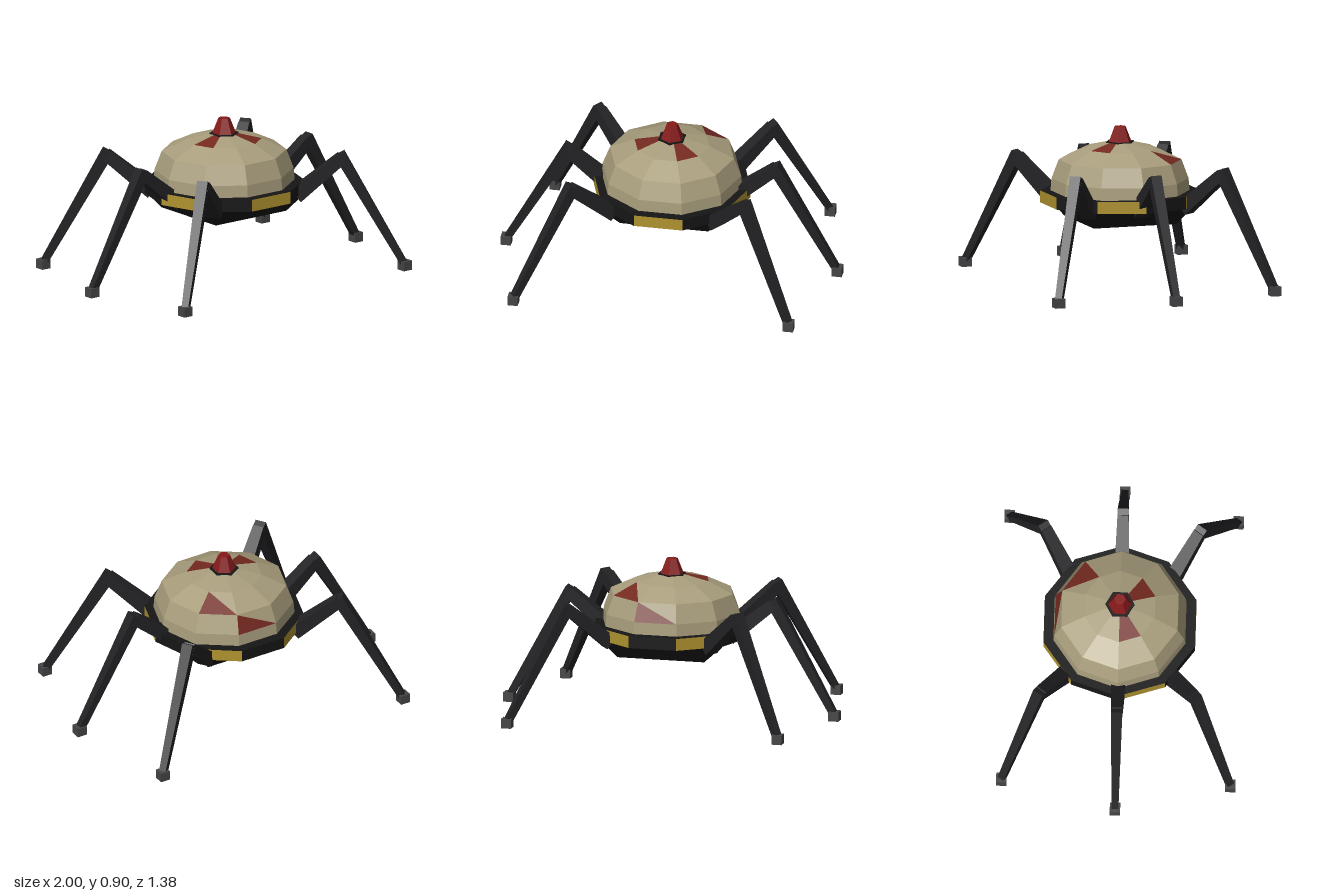
import * as THREE from 'three';

const mat = (color) => new THREE.MeshStandardMaterial({ color, flatShading: true });
const materials = {
  shell: mat(0xa89d7c), patch: mat(0x742a20), black: mat(0x161617), yellow: mat(0xb0932f),
  leg: mat(0x222225), foot: mat(0x454547), beacon: mat(0x861a1a),
};

function addMesh(parent, name, geometry, material) {
  const mesh = new THREE.Mesh(geometry, material);
  mesh.name = name;
  parent.add(mesh);
  return mesh;
}

// Ten-sided surface through [radius, y] rings, bottom to top.
// accent(ring, side, half) chooses which triangles go to the second geometry.
function ringSurface(rings, accent) {
  const sides = 10, main = [], marked = [];
  const point = ([r, y], k) => {
    const a = (k / sides) * Math.PI * 2;
    return [r * Math.cos(a), y, r * Math.sin(a)];
  };
  for (let i = 0; i < rings.length - 1; i++) {
    for (let k = 0; k < sides; k++) {
      const a = point(rings[i], k), b = point(rings[i], k + 1);
      const c = point(rings[i + 1], k + 1), d = point(rings[i + 1], k);
      if (rings[i][0] > 0) (accent(i, k, 0) ? marked : main).push(...a, ...c, ...b);
      if (rings[i + 1][0] > 0) (accent(i, k, 1) ? marked : main).push(...a, ...d, ...c);
    }
  }
  return [main, marked].map((positions) => {
    const g = new THREE.BufferGeometry();
    g.setAttribute('position', new THREE.Float32BufferAttribute(positions, 3));
    g.computeVertexNormals();
    return g;
  });
}

// Tapered square beam between two points
function beam(parent, name, from, to, w0, w1) {
  const g = new THREE.CylinderGeometry(w1 * Math.SQRT1_2, w0 * Math.SQRT1_2, from.distanceTo(to), 4);
  g.rotateY(Math.PI / 4).rotateX(Math.PI / 2);
  const mesh = addMesh(parent, name, g, materials.leg);
  mesh.position.copy(from).add(to).multiplyScalar(0.5);
  mesh.lookAt(to);
}

function addLeg(parent, name, hip, knee, foot) {
  const leg = new THREE.Group();
  leg.name = name;
  const [h, k, f] = [hip, knee, foot].map((p) => new THREE.Vector3(...p));
  const kneeTop = k.clone().add(k.clone().sub(f).setLength(0.025));
  beam(leg, 'upperLeg', h, k, 0.085, 0.065);
  beam(leg, 'lowerLeg', f, kneeTop, 0.04, 0.065);
  addMesh(leg, 'foot', new THREE.BoxGeometry(0.06, 0.055, 0.06), materials.foot)
    .position.set(foot[0], 0.0275, foot[2]);
  parent.add(leg);
}

export function createModel() {
  const model = new THREE.Group();
  model.name = 'sixLeggedWalker';

  // Domed shell with a few painted triangular facets
  const patches = new Set(['1,7,0', '2,8,0', '3,1,0', '3,4,0']);
  const [shell, paint] = ringSurface(
    [[0.408, 0.53], [0.402, 0.6], [0.36, 0.71], [0.217, 0.778], [0, 0.83]],
    (i, k, half) => patches.has(`${i},${k},${half}`),
  );
  const dome = new THREE.Group();
  dome.name = 'dome';
  dome.scale.set(1.01, 1, 0.98);
  addMesh(dome, 'shell', shell, materials.shell);
  addMesh(dome, 'paintedFacets', paint, materials.patch);
  model.add(dome);

  // Belt with alternating black and yellow side panels
  const [belt, panels] = ringSurface(
    [[0, 0.46], [0.46, 0.46], [0.46, 0.53], [0, 0.53]],
    (i, k) => i === 1 && k % 2 === 0,
  );
  addMesh(model, 'belt', belt, materials.black);
  addMesh(model, 'beltPanels', panels, materials.yellow);

  // Square tapered underside
  const hull = new THREE.CylinderGeometry(0.46, 0.355, 0.105, 4).rotateY(Math.PI / 4);
  const underside = addMesh(model, 'underside', hull, materials.black);
  underside.position.y = 0.4095;
  underside.scale.x = 1.03;

  // Beacon on a dark collar
  addMesh(model, 'beaconCollar', new THREE.CylinderGeometry(0.085, 0.085, 0.025, 6), materials.black)
    .position.y = 0.803;
  addMesh(model, 'beacon', new THREE.CylinderGeometry(0.034, 0.071, 0.095, 6), materials.beacon)
    .position.y = 0.8555;

  // Three legs on each side
  for (const s of [1, -1]) {
    const side = s > 0 ? 'Left' : 'Right';
    addLeg(model, `middle${side}Leg`, [s * 0.35, 0.46, 0], [s * 0.61, 0.67, 0], [s * 0.97, 0.03, 0]);
    for (const t of [1, -1]) {
      addLeg(model, `${t > 0 ? 'front' : 'back'}${side}Leg`,
        [s * 0.295, 0.455, t * 0.295], [s * 0.51, 0.675, t * 0.45], [s * 0.807, 0.03, t * 0.66]);
    }
  }
  return model;
}
